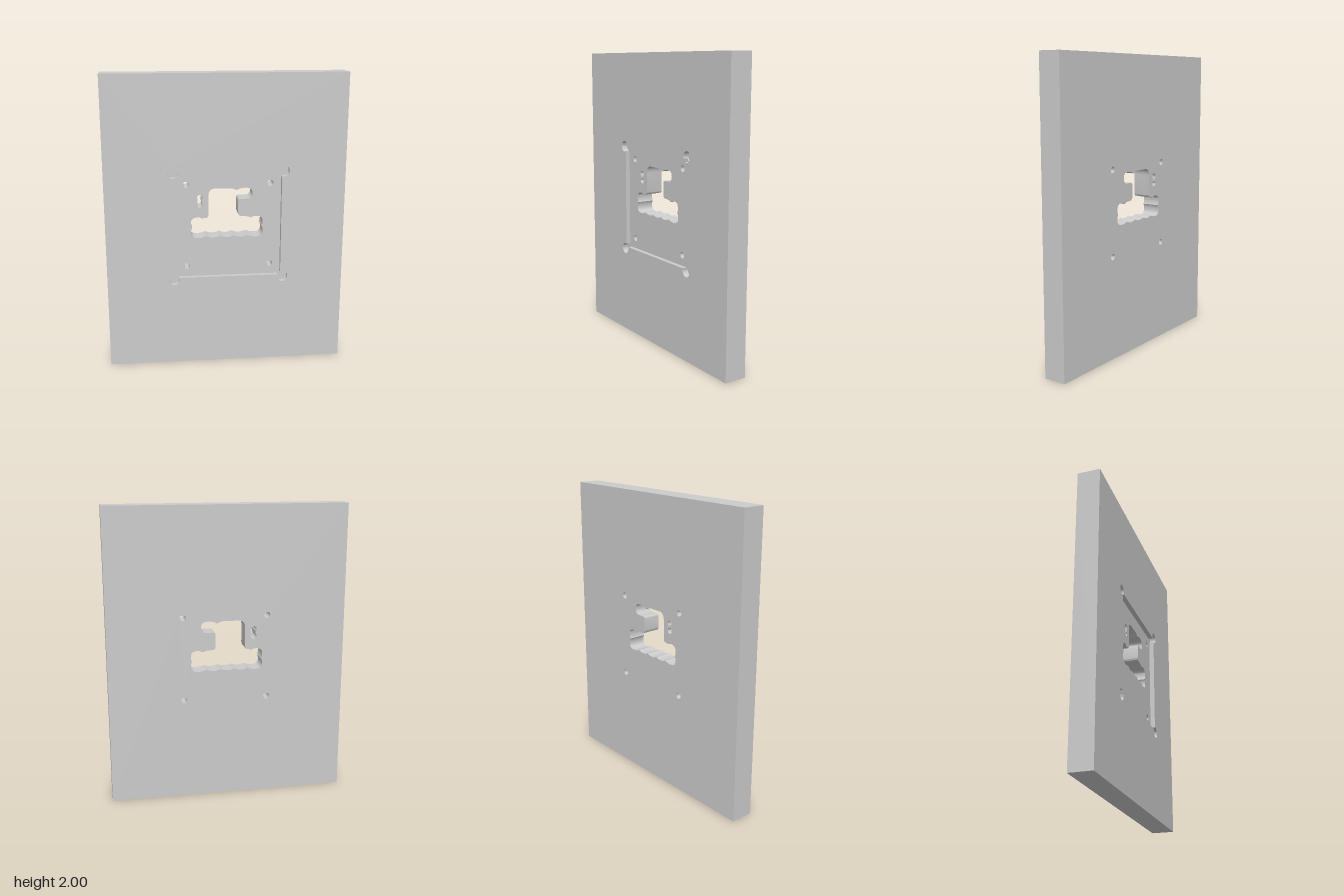
import * as THREE from 'three';
import { toCreasedNormals } from 'three/addons/utils/BufferGeometryUtils.js';

const W = 0.807, H = 2, Z = 0.077;             // half width, height, half thickness
const POCKET_Z = 0.045, RELIEF_Z = 0.035;      // pocket floor, corner relief floor
const CX = 0.018, CY = 0.982;                  // pocket centre
const HALF = 0.357, RELIEF = 0.371, R = 0.037; // pocket half side, relief offset and radius

const v = (x, y) => new THREE.Vector2(x, y);

function arc(cx, cy, r, from, to, n) {
  return Array.from({ length: n + 1 }, (_, i) => {
    const a = from + (to - from) * i / n;
    return v(cx + r * Math.cos(a), cy + r * Math.sin(a));
  });
}

const circle = (cx, cy, r, n = 32) => arc(cx, cy, r, 0, Math.PI * 2, n).slice(0, -1);

const corners = (offset) => [[1, 1], [-1, 1], [-1, -1], [1, -1]].map(([sx, sy]) => [CX + sx * offset, CY + sy * offset]);

// Square with a round relief at each corner, bulging out or cutting in
function pocketOutline(outward) {
  const spread = Math.PI / 4 - Math.asin((RELIEF - HALF) / R);
  return corners(RELIEF).flatMap(([x, y], i) => {
    const inner = Math.PI * (1.25 + i / 2);
    const end = inner - spread + (outward ? Math.PI * 2 : 0);
    return arc(x, y, R, inner + spread, end, outward ? 28 : 6);
  });
}

// Stepped opening with scalloped edges; two numbers = line, four = curve
function openingOutline() {
  const steps = [
    [-0.116, 1.187], [-0.114, 1.235, -0.075, 1.237], [0.03, 1.237],
    [0.055, 1.236, 0.072, 1.222], [0.1, 1.24, 0.145, 1.238],
    [0.182, 1.235, 0.182, 1.2], [0.182, 1.163, 0.145, 1.162], [0.105, 1.162],
    [0.085, 1.162, 0.085, 1.145], [0.085, 1.065], [0.085, 1.042, 0.11, 1.042],
    [0.15, 1.042, 0.172, 1.03], [0.19, 1.042, 0.215, 1.04],
    [0.252, 1.04, 0.252, 1.0], [0.252, 0.977, 0.245, 0.966],
    [0.254, 0.955, 0.254, 0.935], [0.254, 0.896, 0.215, 0.895],
    [0.18, 0.893, 0.148, 0.907], [0.1, 0.885, 0.053, 0.907],
    [0.008, 0.885, -0.037, 0.907], [-0.085, 0.885, -0.132, 0.907],
    [-0.16, 0.893, -0.195, 0.895], [-0.235, 0.896, -0.235, 0.935],
    [-0.235, 0.955, -0.227, 0.966], [-0.235, 0.977, -0.235, 1.0],
    [-0.235, 1.04, -0.195, 1.04], [-0.175, 1.042, -0.158, 1.03],
    [-0.145, 1.037, -0.13, 1.037], [-0.116, 1.039, -0.116, 1.06],
  ];
  const s = new THREE.Shape().moveTo(-0.116, 1.06);
  for (const p of steps) p.length === 2 ? s.lineTo(...p) : s.quadraticCurveTo(...p);
  return s.getPoints(8).slice(0, -1);
}

// Small slot with round ends and a narrower waist
function slotOutline() {
  const x = -0.175, r = 0.02;
  return [
    ...arc(x, 1.175, r, -Math.PI / 4, Math.PI * 1.25, 16),
    ...arc(x, 1.127, r, Math.PI * 0.75, Math.PI * 2.25, 16),
  ];
}

// Flat face with holes, facing +z or, when back is set, -z
function face(points, holes, z, back = false) {
  const shape = new THREE.Shape(points);
  shape.holes = holes.map((h) => new THREE.Path(h));
  const geo = new THREE.ShapeGeometry(shape);
  if (back) {
    const idx = geo.index.array;
    for (let i = 0; i < idx.length; i += 3) [idx[i], idx[i + 1]] = [idx[i + 1], idx[i]];
    geo.computeVertexNormals();
  }
  return geo.translate(0, 0, z);
}

// Closed wall along an outline; inward walls face the middle of the outline
function wall(outline, z0, z1, inward = true) {
  const pts = THREE.ShapeUtils.isClockWise(outline) === inward ? outline : [...outline].reverse();
  const pos = [];
  pts.forEach((a, i) => {
    const b = pts[(i + 1) % pts.length];
    pos.push(a.x, a.y, z0, b.x, b.y, z0, b.x, b.y, z1, a.x, a.y, z0, b.x, b.y, z1, a.x, a.y, z1);
  });
  const geo = new THREE.BufferGeometry();
  geo.setAttribute('position', new THREE.Float32BufferAttribute(pos, 3));
  return toCreasedNormals(geo, 0.6);
}

export function createModel() {
  const model = new THREE.Group();
  model.name = 'mountingPlate';
  const material = new THREE.MeshStandardMaterial({ color: 0xcccccc, side: THREE.DoubleSide });
  const add = (name, geo) => {
    const mesh = new THREE.Mesh(geo, material);
    mesh.name = name;
    model.add(mesh);
  };

  const border = [v(-W, 0), v(W, 0), v(W, H), v(-W, H)];
  const pocket = pocketOutline(true);
  const opening = openingOutline();
  const slot = slotOutline();
  const bolts = corners(0.285).map(([x, y]) => circle(x, y, 0.021, 24));
  const through = [opening, slot, ...bolts];

  // Plate
  add('frontFace', face(border, [pocket], Z));
  add('backFace', face(border, through, -Z, true));
  add('outerEdge', wall(border, -Z, Z, false));

  // Shallow square pocket with round corner reliefs
  add('pocketFloor', face(pocketOutline(false), through, POCKET_Z));
  add('pocketWall', wall(pocket, POCKET_Z, Z));
  for (const [x, y] of corners(RELIEF)) {
    const ring = circle(x, y, R);
    add('cornerReliefFloor', face(ring, [], RELIEF_Z));
    add('cornerReliefWall', wall(ring, RELIEF_Z, POCKET_Z));
  }

  // Holes through the plate
  add('openingWall', wall(opening, -Z, POCKET_Z));
  add('slotWall', wall(slot, -Z, POCKET_Z));
  for (const b of bolts) add('boltHole', wall(b, -Z, POCKET_Z));

  return model;
}
